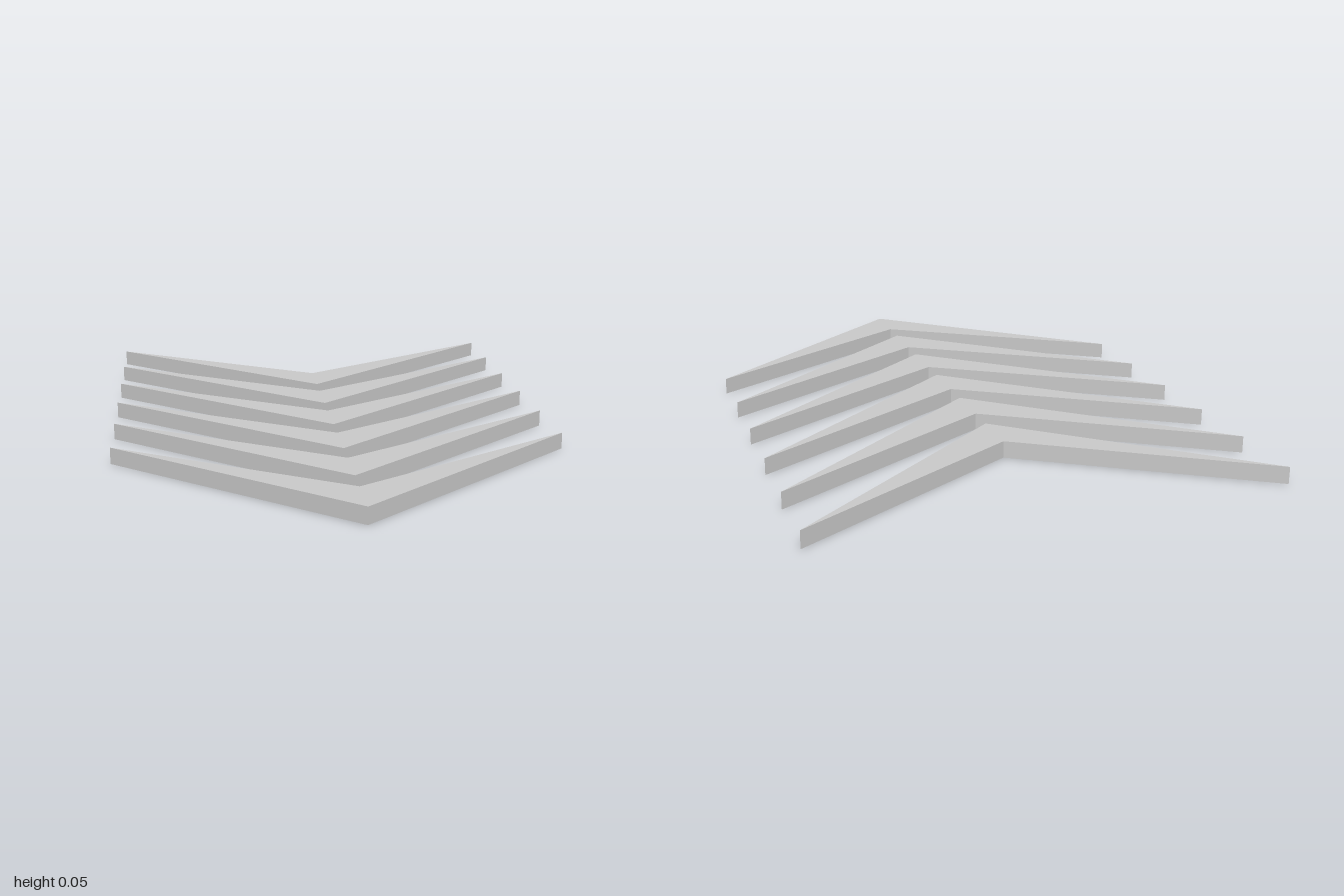
import * as THREE from 'three';

const COUNT = 6;
const PITCH = 0.273;
const HEIGHT = 0.055;
const HALF_WIDTH = 0.74;

export function createModel() {
  const group = new THREE.Group();
  group.name = 'chevronRow';
  const material = new THREE.MeshStandardMaterial({ color: 0xcccccc, flatShading: true });

  // Tapered chevron outline: the point faces the front, the tips sweep back
  const outline = new THREE.Shape([
    new THREE.Vector2(0, -0.635),
    new THREE.Vector2(HALF_WIDTH, 0),
    new THREE.Vector2(0, -0.463),
    new THREE.Vector2(-HALF_WIDTH, 0),
  ]);
  const geometry = new THREE.ExtrudeGeometry(outline, { depth: HEIGHT, bevelEnabled: false });
  geometry.rotateX(-Math.PI / 2); // lay flat, thickness up

  // Evenly spaced row from back to front
  for (let i = 0; i < COUNT; i++) {
    const chevron = new THREE.Mesh(geometry, material);
    chevron.name = `chevron${i + 1}`;
    chevron.position.z = -1 + i * PITCH;
    group.add(chevron);
  }
  return group;
}
